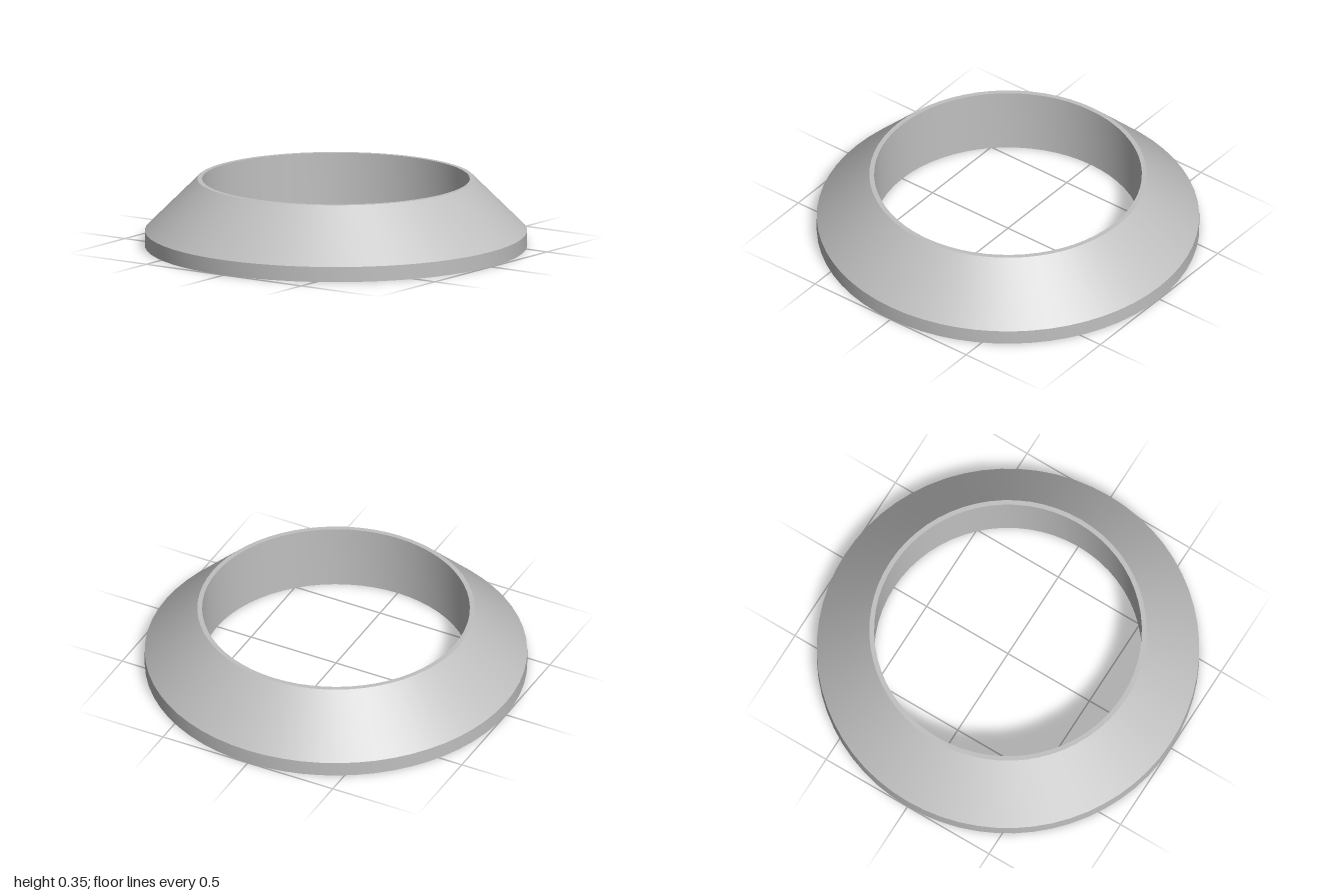
import * as THREE from 'three';
import { toCreasedNormals } from 'three/addons/utils/BufferGeometryUtils.js';

export function createModel() {
  const group = new THREE.Group();
  group.name = 'bevelledRing';

  const grey = new THREE.MeshStandardMaterial({ color: 0xc0c0c0 });
  grey.name = 'light grey';

  // Closed cross-section: flat base, short rim, sloped side, narrow lip, straight bore
  const profile = [
    [0.7, 0],
    [1, 0],
    [1, 0.08],
    [0.725, 0.355],
    [0.7, 0.355],
    [0.7, 0],
  ].map(([r, y]) => new THREE.Vector2(r, y));

  // Smooth around the ring, sharp along the profile corners
  const geometry = toCreasedNormals(new THREE.LatheGeometry(profile, 64), 0.4);
  const ring = new THREE.Mesh(geometry, grey);
  ring.name = 'ring';
  group.add(ring);

  return group;
}
